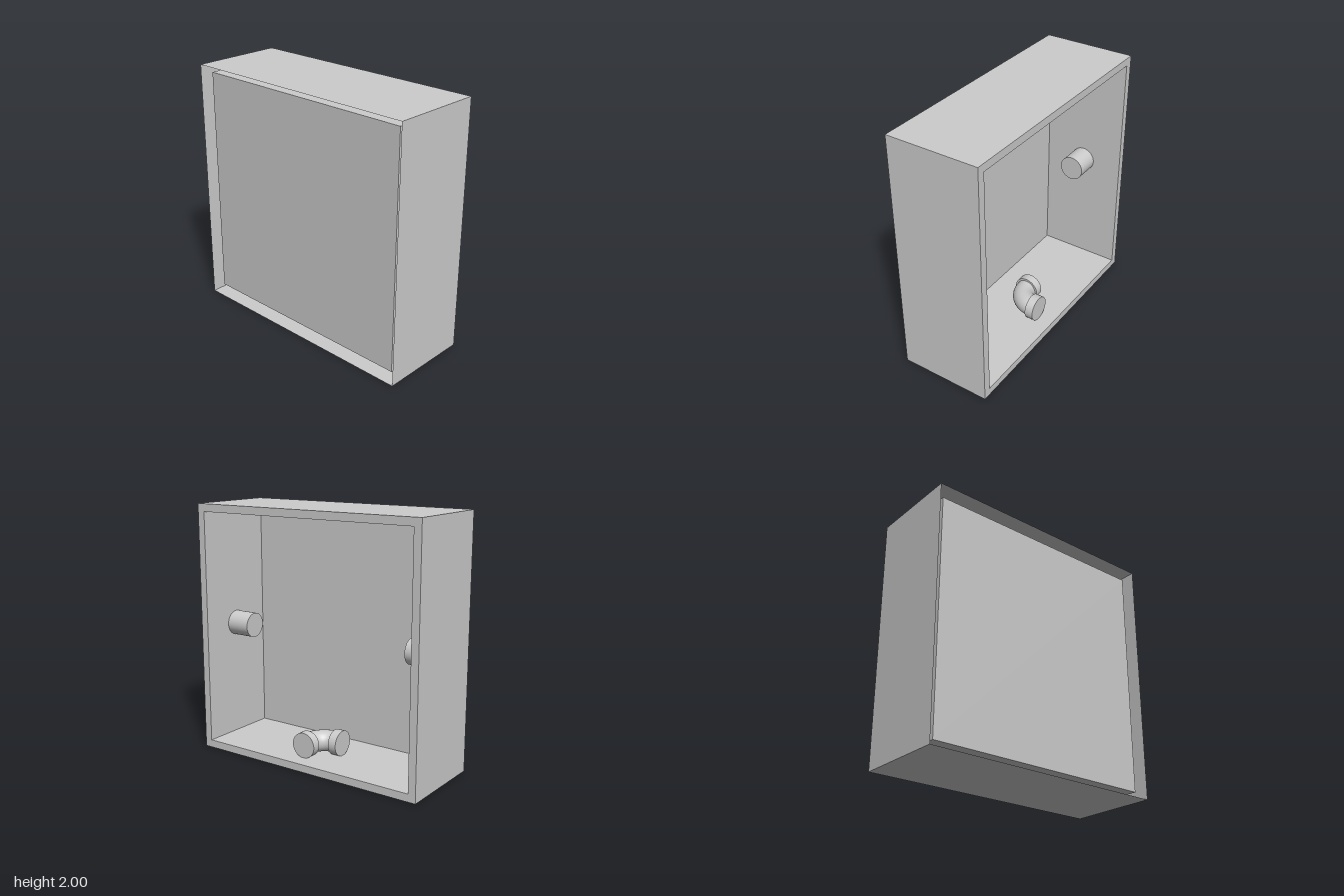
import * as THREE from 'three';

const grey = new THREE.MeshStandardMaterial({ color: 0xcccccc });
const sheet = new THREE.MeshStandardMaterial({ color: 0xcccccc, side: THREE.DoubleSide, flatShading: true });

const HALF = 1, INNER = 0.9385;            // half widths of the case and of the recess
const FRONT = 0.373, BACK = -0.373, PANEL = 0.31;
const PIPE_R = 0.1, PIPE_Z = -0.03;

function add(parent, name, geometry, material, x = 0, y = 0, z = 0) {
  const mesh = new THREE.Mesh(geometry, material);
  mesh.name = name;
  mesh.position.set(x, y, z);
  parent.add(mesh);
  return mesh;
}

// Square sleeve around the z axis from [half width, z] pairs
function squareSleeve(profile) {
  const points = profile.map(([half, z]) => new THREE.Vector2(half * Math.SQRT2, z));
  const g = new THREE.LatheGeometry(points, 4, Math.PI / 4).rotateX(Math.PI / 2).toNonIndexed();
  g.computeVertexNormals();
  return g;
}

// Cylinder lying along x or z
function pipe(axis, radius, length) {
  const g = new THREE.CylinderGeometry(radius, radius, length, 48);
  return axis === 'x' ? g.rotateZ(Math.PI / 2) : g.rotateX(Math.PI / 2);
}

export function createModel() {
  const model = new THREE.Group();
  model.name = 'wallBox';

  // Hollow case: outer sleeve open at the front, rim at the back, recessed inner tray
  add(model, 'outerCase', squareSleeve([[HALF, FRONT], [HALF, BACK]]), sheet, 0, 1);
  add(model, 'backRim', squareSleeve([[HALF, BACK], [INNER, BACK]]), sheet, 0, 1);
  add(model, 'innerWalls', squareSleeve([[INNER, BACK], [INNER, PANEL]]), sheet, 0, 1);
  add(model, 'frontPanel', new THREE.PlaneGeometry(2 * INNER, 2 * INNER), sheet, 0, 1, PANEL);

  // Pipe stubs on the side walls
  add(model, 'leftPipeStub', pipe('x', PIPE_R, 0.2), grey, 0.837, 1, PIPE_Z);
  add(model, 'rightPipeStub', pipe('x', PIPE_R, 0.2), grey, -0.844, 1, PIPE_Z);

  // Elbow lying on the floor, with a collar at each end
  const elbow = new THREE.Group();
  elbow.name = 'pipeElbow';
  elbow.position.set(0.078, 1 - INNER + PIPE_R, PIPE_Z);
  model.add(elbow);
  const leg = 0.22, collar = 0.07, bend = leg - collar;
  const arc = new THREE.TorusGeometry(bend, 0.085, 32, 32, Math.PI / 2).rotateX(Math.PI / 2);
  add(elbow, 'elbowBend', arc, grey, -bend, 0, -bend);
  add(elbow, 'sideCollar', pipe('x', PIPE_R + 0.002, collar), grey, -leg + collar / 2, 0, 0);
  add(elbow, 'backCollar', pipe('z', PIPE_R + 0.002, collar), grey, 0, 0, -leg + collar / 2);

  return model;
}
